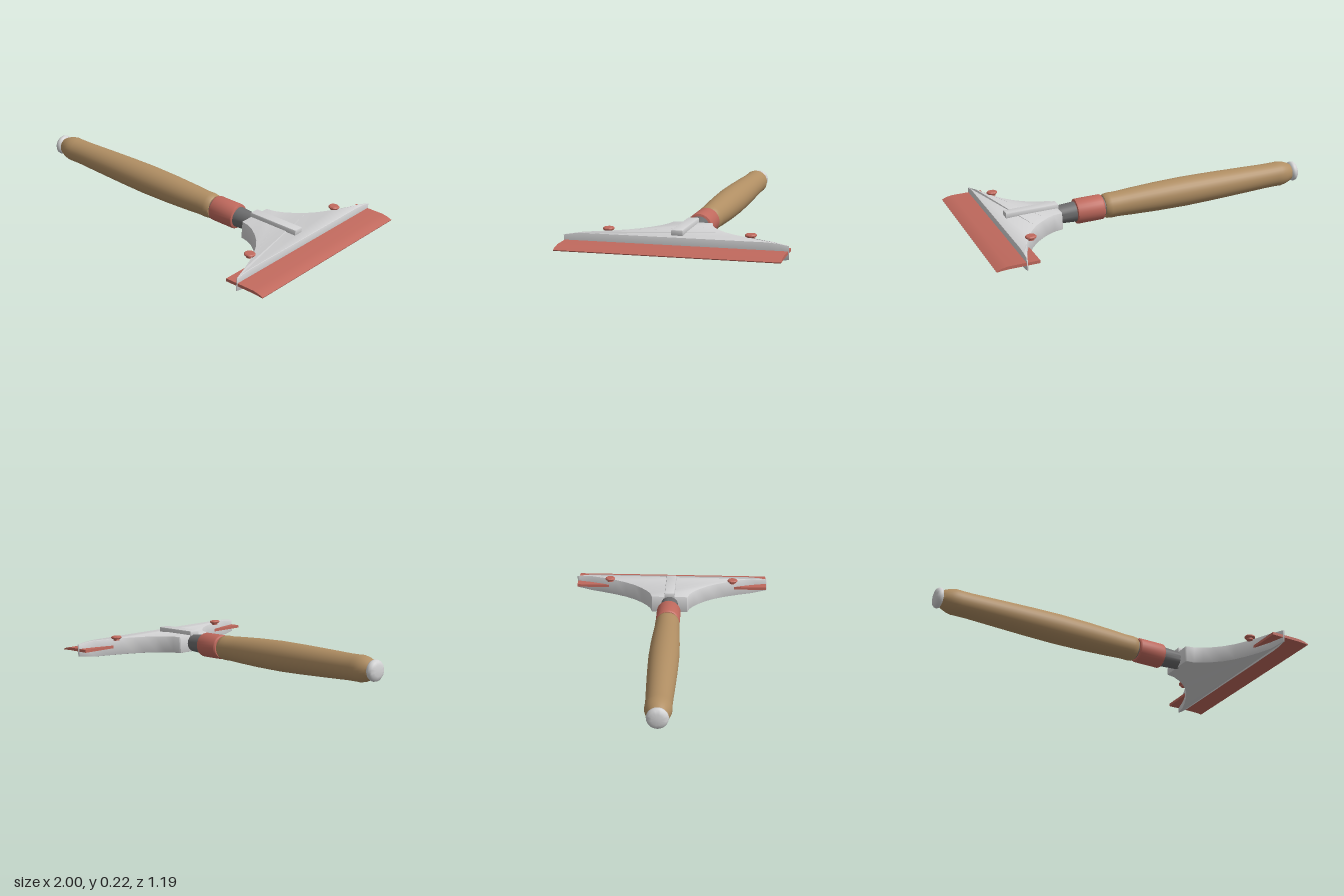
import * as THREE from 'three';
import { toCreasedNormals } from 'three/addons/utils/BufferGeometryUtils.js';

const material = (name, color) => new THREE.MeshStandardMaterial({ name, color });

export function createModel() {
  const wood = material('wood', 0xb08e63);
  const red = material('red rubber', 0xc0695d);
  const silver = material('light metal', 0xd2d2d3);
  const steel = material('dark metal', 0x6c6c6d);

  const model = new THREE.Group();
  model.name = 'squeegee';

  // The whole tool lies along x and dips slightly towards the blade
  const tool = new THREE.Group();
  tool.name = 'tool';
  tool.position.y = 0.098;
  tool.rotation.z = -0.055;
  model.add(tool);

  const add = (name, geometry, mat, crease = 0.6) => {
    const mesh = new THREE.Mesh(toCreasedNormals(geometry, crease), mat);
    mesh.name = name;
    tool.add(mesh);
    return mesh;
  };

  // Turned part: profile of [x, radius] spun around the x axis
  const turned = (profile, segments = 32) =>
    new THREE.LatheGeometry(profile.map(([x, r]) => new THREE.Vector2(r, x)), segments)
      .rotateZ(-Math.PI / 2);

  // Flat outline in x/z given thickness in y, with a small bevel
  const plate = (shape, thickness, bevel) =>
    new THREE.ExtrudeGeometry(shape, {
      depth: thickness - 2 * bevel, bevelThickness: bevel, bevelSize: bevel,
      bevelOffset: -bevel, bevelSegments: 2, curveSegments: 8
    }).translate(0, 0, bevel - thickness / 2).rotateX(Math.PI / 2);

  // Handle
  add('handle', turned([
    [-0.965, 0], [-0.965, 0.045], [-0.95, 0.054], [-0.92, 0.066], [-0.89, 0.072],
    [-0.86, 0.071], [-0.8, 0.071], [-0.65, 0.076], [-0.45, 0.082], [-0.28, 0.085],
    [-0.1, 0.082], [0.05, 0.076], [0.14, 0.071], [0.18, 0.072], [0.205, 0.069],
    [0.214, 0.062], [0.214, 0]
  ]), wood);

  // End cap with a short stem
  add('endCap', turned([
    [-1.005, 0], [-1.003, 0.03], [-0.998, 0.047], [-0.988, 0.056], [-0.977, 0.058],
    [-0.967, 0.054], [-0.96, 0.042], [-0.955, 0.03], [-0.955, 0]
  ]), silver, 0.9);

  // Collar and neck
  add('collar', turned([
    [0.222, 0], [0.222, 0.064], [0.226, 0.069], [0.232, 0.071], [0.374, 0.071],
    [0.381, 0.069], [0.384, 0.064], [0.384, 0]
  ]), red);
  add('innerSpindle', turned([[0.2, 0], [0.2, 0.055], [0.24, 0.055], [0.24, 0]]), steel);
  add('neck', turned([[0.37, 0], [0.37, 0.058], [0.5, 0.05], [0.5, 0]]), steel);

  // Fan-shaped head, flaring to the full blade width
  const flank = [
    [0.49, 0.105], [0.495, 0.11], [0.54, 0.12], [0.585, 0.144], [0.63, 0.18],
    [0.675, 0.225], [0.715, 0.28], [0.75, 0.345], [0.785, 0.425], [0.812, 0.5],
    [0.835, 0.59], [0.842, 0.595], [0.842, 0.54], [0.842, 0.48]
  ];
  const outline = [...flank, ...flank.map(([x, z]) => [x, -z]).reverse()];
  const headGeometry = plate(
    new THREE.Shape(outline.map(([x, z]) => new THREE.Vector2(x, z))), 0.098, 0.003);
  // Thin the tips towards both ends
  const p = headGeometry.attributes.position;
  for (let i = 0; i < p.count; i++) {
    const t = Math.max(0, (Math.abs(p.getZ(i)) - 0.47) / 0.125);
    p.setY(i, p.getY(i) * (1 - 0.28 * t * t));
  }
  add('head', headGeometry, silver);

  // Raised rib on top of the head
  const ribShape = new THREE.Shape([[0.485, -0.03], [0.785, -0.03], [0.785, 0.03], [0.485, 0.03]]
    .map(([x, z]) => new THREE.Vector2(x, z)));
  add('rib', plate(ribShape, 0.036, 0.006).translate(0, 0.056, 0), silver);

  // Rubber blade, its edge tapering and curling down
  const bladeShape = new THREE.Shape([
    [0.77, -0.008], [0.94, -0.008], [0.975, -0.01], [1.0, -0.013], [1.002, -0.008],
    [0.975, 0.002], [0.94, 0.008], [0.77, 0.008]
  ].map(([x, y]) => new THREE.Vector2(x, y)));
  add('blade', new THREE.ExtrudeGeometry(bladeShape, { depth: 1.18, bevelEnabled: false })
    .translate(0, 0, -0.59), red);

  // Clamp screws
  for (const side of [1, -1]) {
    const screw = new THREE.LatheGeometry([
      [0, 0.04], [0.018, 0.04], [0.018, 0.049], [0.025, 0.05], [0.03, 0.055],
      [0.03, 0.06], [0.025, 0.065], [0, 0.066]
    ].map(([r, y]) => new THREE.Vector2(r, y)), 24);
    add(side > 0 ? 'leftScrew' : 'rightScrew', screw, red).position.set(0.752, 0, side * 0.38);
  }

  return model;
}
